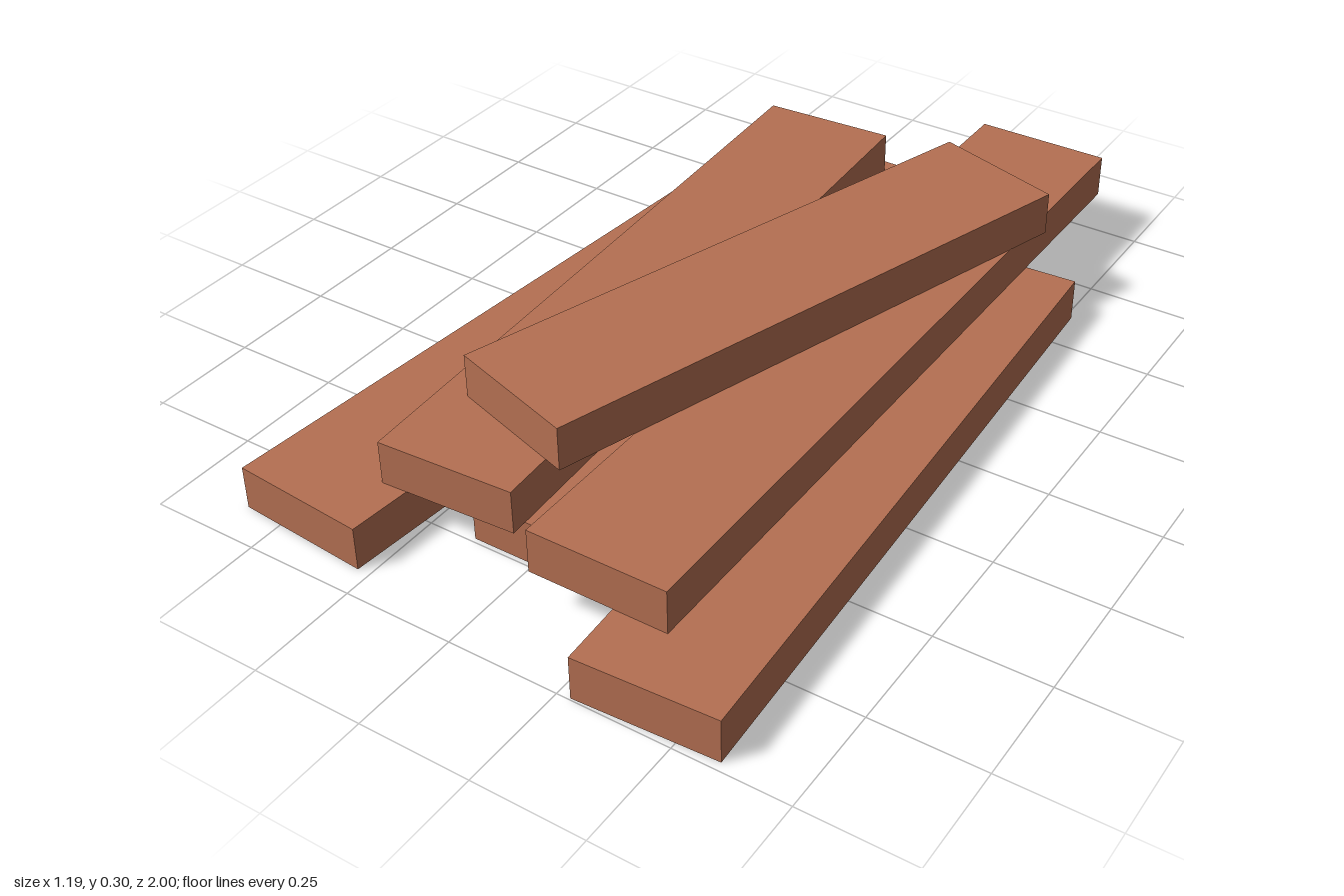
import * as THREE from 'three';

const WIDTH = 0.315;
const HEIGHT = 0.1;

// name, layer, centre x, centre z, length, turn about y in radians
const PLANKS = [
  ['bottomRightPlank', 0, -0.372, 0.128, 1.595, -0.081],
  ['bottomMiddlePlank', 0, 0.012, -0.06, 1.6, 0],
  ['bottomLeftPlank', 0, 0.396, 0.192, 1.595, 0.05],
  ['middleRightPlank', 1, -0.212, -0.011, 1.597, 0.053],
  ['middleLeftPlank', 1, 0.236, -0.075, 1.85, 0],
  ['topPlank', 2, 0.076, -0.018, 1.352, -0.303],
];

export function createModel() {
  const wood = new THREE.MeshStandardMaterial({ color: 0xb57052 });
  wood.name = 'red brown wood';

  // loose stack of planks in three layers
  const group = new THREE.Group();
  group.name = 'plankPile';
  for (const [name, layer, x, z, length, turn] of PLANKS) {
    const plank = new THREE.Mesh(new THREE.BoxGeometry(WIDTH, HEIGHT, length), wood);
    plank.name = name;
    plank.position.set(x, (layer + 0.5) * HEIGHT, z);
    plank.rotation.y = turn;
    group.add(plank);
  }
  return group;
}
